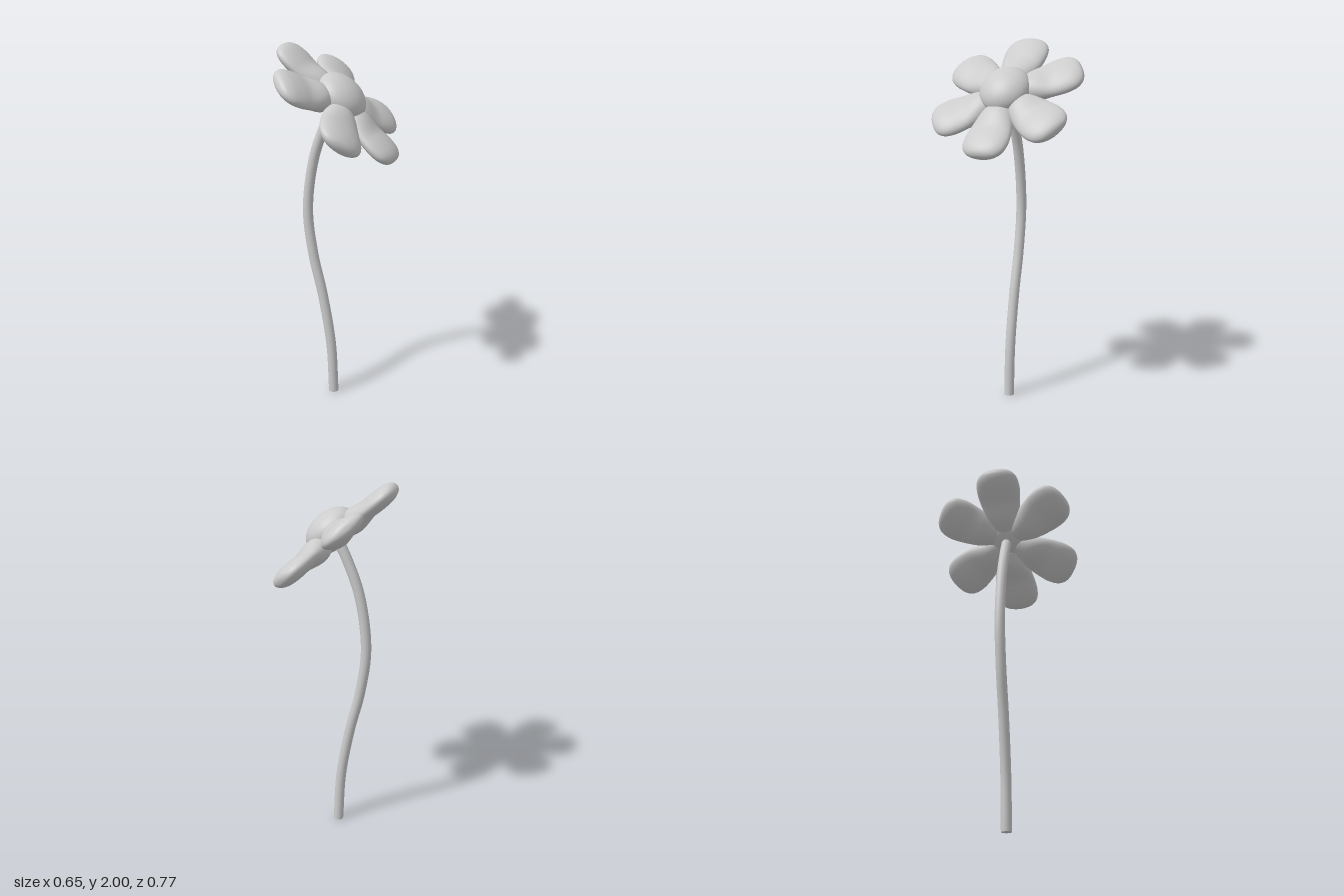
import * as THREE from 'three';
import { mergeVertices } from 'three/addons/utils/BufferGeometryUtils.js';

const material = new THREE.MeshStandardMaterial({ color: 0xcccccc });

function addMesh(parent, geometry, name) {
  const mesh = new THREE.Mesh(geometry, material);
  mesh.name = name;
  parent.add(mesh);
  return mesh;
}

// Petal: a rounded spatula profile turned around its length, flattened more towards the tip
function petalGeometry() {
  const outline = new THREE.SplineCurve([
    [0, 0.03], [0.045, 0.045], [0.07, 0.09], [0.1, 0.17], [0.12, 0.26], [0.124, 0.32],
    [0.113, 0.37], [0.083, 0.404], [0.042, 0.419], [0, 0.422],
  ].map(([w, u]) => new THREE.Vector2(w, u)));
  const points = outline.getPoints(40);
  points.forEach((p) => { p.x = Math.max(p.x, 0); });
  const lathe = new THREE.LatheGeometry(points, 40);
  lathe.deleteAttribute('uv');
  lathe.deleteAttribute('normal');
  const geometry = mergeVertices(lathe, 1e-5);
  const position = geometry.attributes.position;
  for (let i = 0; i < position.count; i++) {
    const rootness = 1 - THREE.MathUtils.smoothstep(position.getY(i), 0.1, 0.26);
    position.setX(i, position.getX(i) * (0.4 + 0.38 * rootness));
  }
  geometry.rotateZ(-Math.PI / 2);
  geometry.computeVertexNormals();
  return geometry;
}

export function createModel() {
  const flower = new THREE.Group();
  flower.name = 'flower';

  // Stem: a bent tube with a closed base
  const path = new THREE.CatmullRomCurve3([
    [-0.028, 0], [-0.044, 0.3], [-0.094, 0.6], [-0.15, 0.84], [-0.18, 1.1],
    [-0.14, 1.4], [-0.067, 1.6], [-0.01, 1.71],
  ].map(([x, y]) => new THREE.Vector3(x, y, 0)));
  const stemRadius = 0.028;
  addMesh(flower, new THREE.TubeGeometry(path, 80, stemRadius, 24), 'stem');
  const base = addMesh(flower, new THREE.CircleGeometry(stemRadius, 24), 'stemBase');
  base.rotation.x = Math.PI / 2;
  base.position.set(-0.028, 0.001, 0);

  // Tilted flower head
  const head = new THREE.Group();
  head.name = 'flowerHead';
  head.position.set(0, 1.706, 0);
  head.rotation.z = -THREE.MathUtils.degToRad(41.5);
  flower.add(head);

  // Ring of six petals, the side ones slightly closer to the front and back ones
  const petal = petalGeometry();
  [0, 58, 122, 180, 238, 302].forEach((angle, i) => {
    addMesh(head, petal, 'petal' + (i + 1)).rotation.y = THREE.MathUtils.degToRad(angle);
  });

  // Domed centre
  const centre = addMesh(head, new THREE.SphereGeometry(1, 48, 32), 'flowerCentre');
  centre.scale.set(0.145, 0.094, 0.138);
  centre.position.set(-0.01, 0.04, 0);

  return flower;
}
